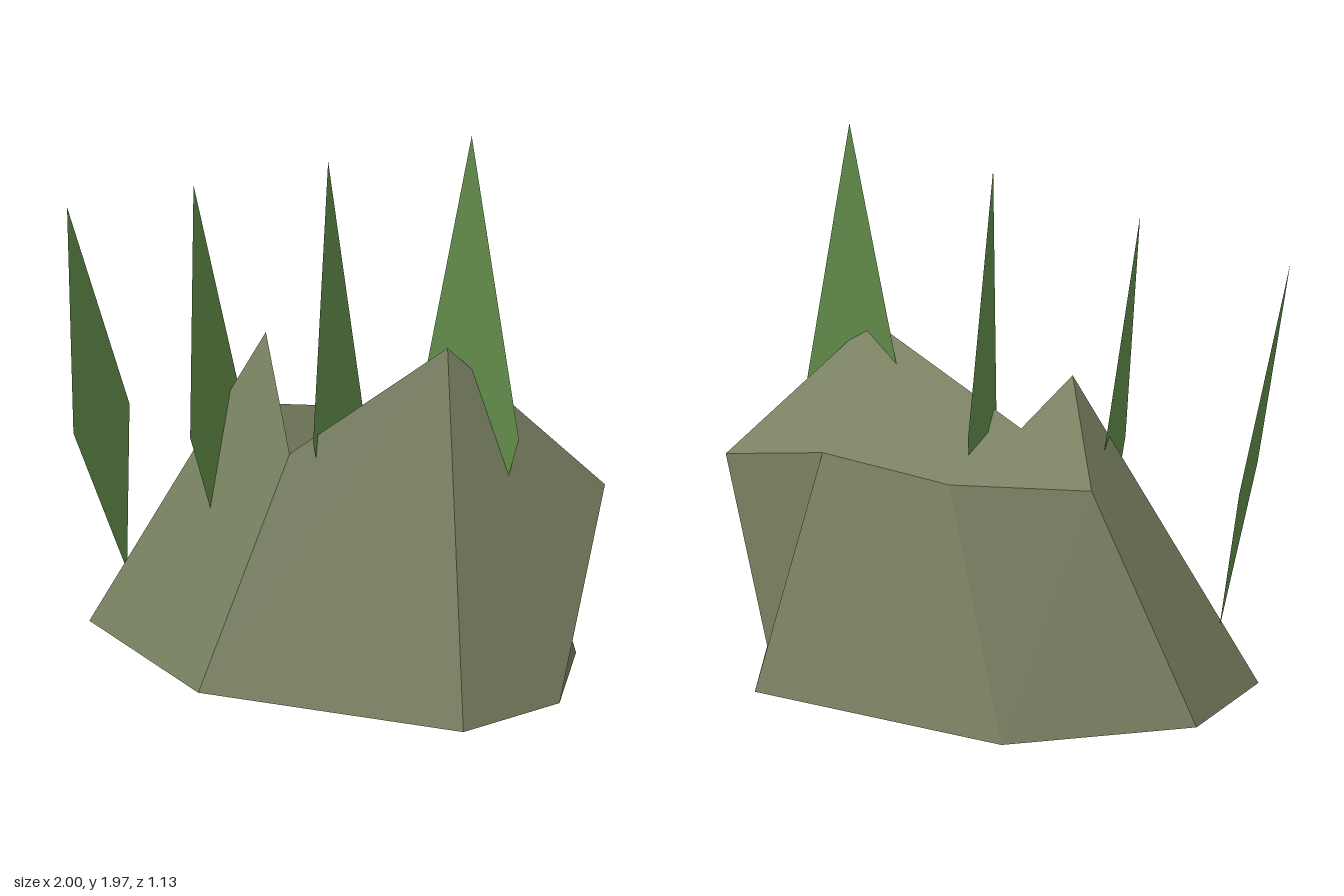
import * as THREE from 'three';

const rockMat = new THREE.MeshStandardMaterial({ color: 0x788060 });
rockMat.name = 'mossy stone';
const grassMat = new THREE.MeshStandardMaterial({ color: 0x638d4a, side: THREE.DoubleSide });
grassMat.name = 'grass green';

// Faceted geometry: every polygon keeps one shared normal, even when slightly bent
function facets(polygons) {
  const positions = [], normals = [];
  for (const { points, triangles } of polygons) {
    const normal = new THREE.Vector3();
    points.forEach((p, i) => normal.add(p.clone().cross(points[(i + 1) % points.length])));
    normal.normalize();
    const tris = triangles ?? points.slice(2).map((_, i) => [0, i + 1, i + 2]);
    for (const i of tris.flat()) {
      positions.push(...points[i].toArray());
      normals.push(...normal.toArray());
    }
  }
  const geometry = new THREE.BufferGeometry();
  geometry.setAttribute('position', new THREE.Float32BufferAttribute(positions, 3));
  geometry.setAttribute('normal', new THREE.Float32BufferAttribute(normals, 3));
  return geometry;
}

const v = (x, y, z) => new THREE.Vector3(x, y, z);

// Seven-sided rock: a base ring, a jagged top ring and the walls between
function createRock() {
  const base = [[-0.93, 0.2], [-0.25, 0.565], [0.7, 0.43], [0.9, 0.07],
    [0.79, -0.355], [-0.18, -0.57], [-0.79, -0.25]].map(([x, z]) => v(x, 0, z));
  const top = [[-0.28, 1.155, 0], [-0.01, 0.845, 0.33], [0.51, 1.255, 0.185], [0.995, 0.78, -0.045],
    [0.56, 0.875, -0.23], [0.07, 0.83, -0.33], [-0.4, 0.81, -0.21]].map((p) => v(...p));
  const polygons = base.map((p, i) => {
    const j = (i + 1) % base.length;
    return { points: [p, base[j], top[j], top[i]] };
  });
  // The two peaks rise from a low saddle
  polygons.push({ points: top, triangles: [[6, 0, 1], [1, 2, 4], [2, 3, 4], [1, 4, 5], [1, 5, 6]] });
  polygons.push({ points: [...base].reverse() });
  const rock = new THREE.Mesh(facets(polygons), rockMat);
  rock.name = 'rock';
  return rock;
}

// Flat kite-shaped blade from root to tip, widest a little below the middle
function createBlade(root, tip, side) {
  const middle = tip.clone().lerp(root, 0.573);
  const points = [root, middle.clone().add(side), tip, middle.clone().sub(side)];
  const blade = new THREE.Mesh(facets([{ points }]), grassMat);
  blade.name = 'grassBlade';
  return blade;
}

export function createModel() {
  const model = new THREE.Group();
  model.name = 'rockWithGrass';
  model.add(createRock());

  // Four blades in a row, growing taller and more upright; the last one faces front
  const grass = new THREE.Group();
  grass.name = 'grass';
  for (let i = 0; i < 4; i++) {
    const side = i < 3 ? v(0, 0, -0.19) : v(0.19, 0, 0);
    grass.add(createBlade(v(-0.79 + 0.453 * i, 0.21, 0.15), v(-1 + 0.523 * i, 1.56 + 0.137 * i, 0.15), side));
  }
  model.add(grass);
  return model;
}
